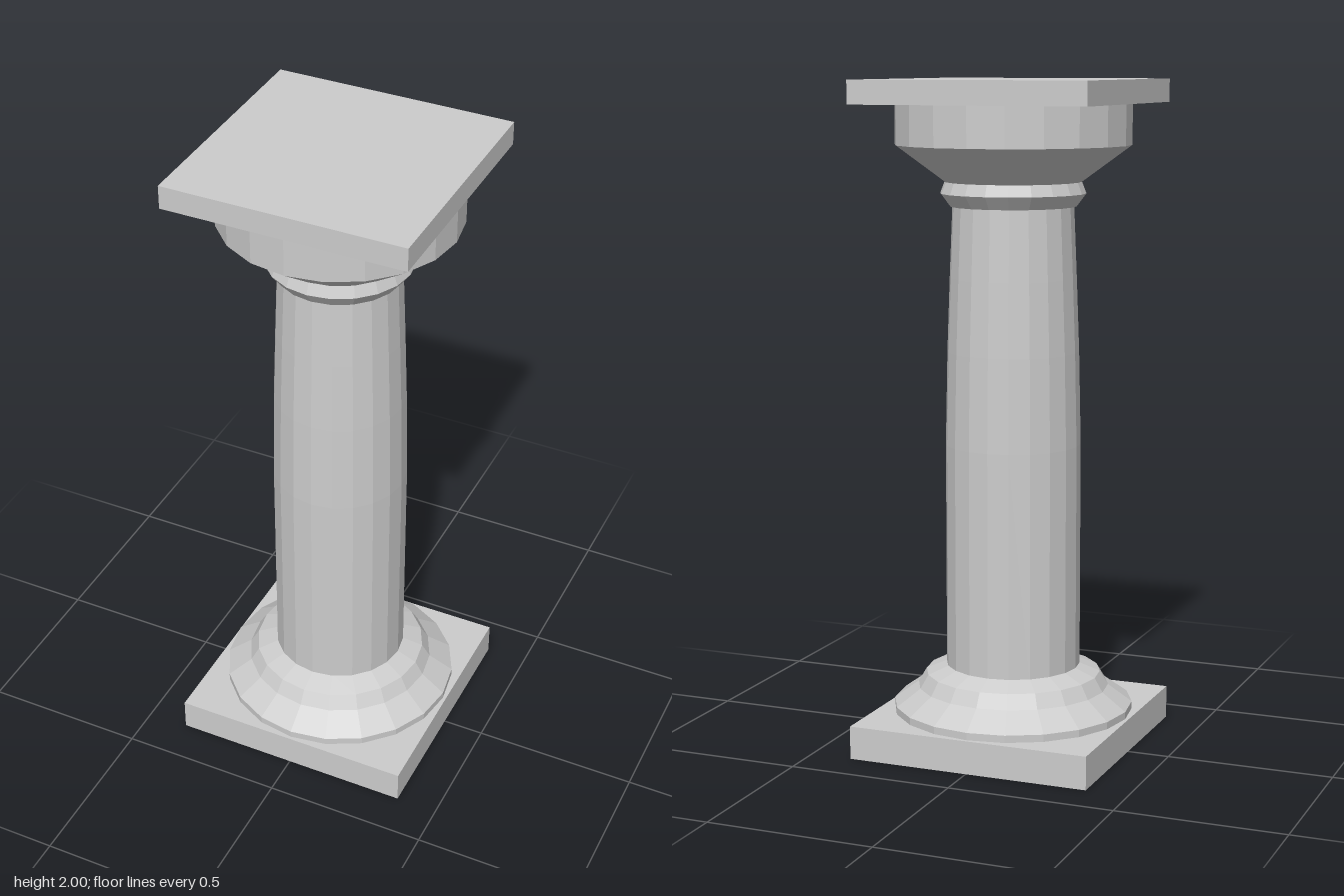
import * as THREE from 'three';

const SIDES = 20;

export function createModel() {
  const group = new THREE.Group();
  const stone = new THREE.MeshStandardMaterial({ color: 0xcccccc });
  stone.name = 'grey stone';

  function add(name, geometry, y = 0) {
    const mesh = new THREE.Mesh(geometry, stone);
    mesh.name = name;
    mesh.position.y = y;
    group.add(mesh);
  }

  // Square plate standing on height y
  function slab(name, width, y, height) {
    add(name, new THREE.BoxGeometry(width, height, width), y + height / 2);
  }

  // Faceted turned part; profile is [radius, height] from bottom to top
  function turned(name, profile) {
    const points = profile.map(([r, y]) => new THREE.Vector2(r, y));
    const geometry = new THREE.LatheGeometry(points, SIDES).toNonIndexed();
    geometry.computeVertexNormals();
    add(name, geometry);
  }

  slab('plinth', 0.746, 0, 0.1);
  turned('baseMoulding', [[0.363, 0.1], [0.363, 0.122], [0.29, 0.175], [0.265, 0.217], [0.2, 0.243]]);

  // Shaft, straight below and tapering gently above
  turned('shaft', [[0.203, 0.23], [0.203, 0.92], [0.197, 1.2], [0.189, 1.42], [0.18, 1.64]]);

  turned('neckRing', [[0.175, 1.63], [0.188, 1.63], [0.216, 1.668], [0.203, 1.702]]);
  turned('capital', [[0.203, 1.702], [0.35, 1.81], [0.35, 1.93]]);
  slab('abacus', 0.726, 1.93, 0.07);

  return group;
}
